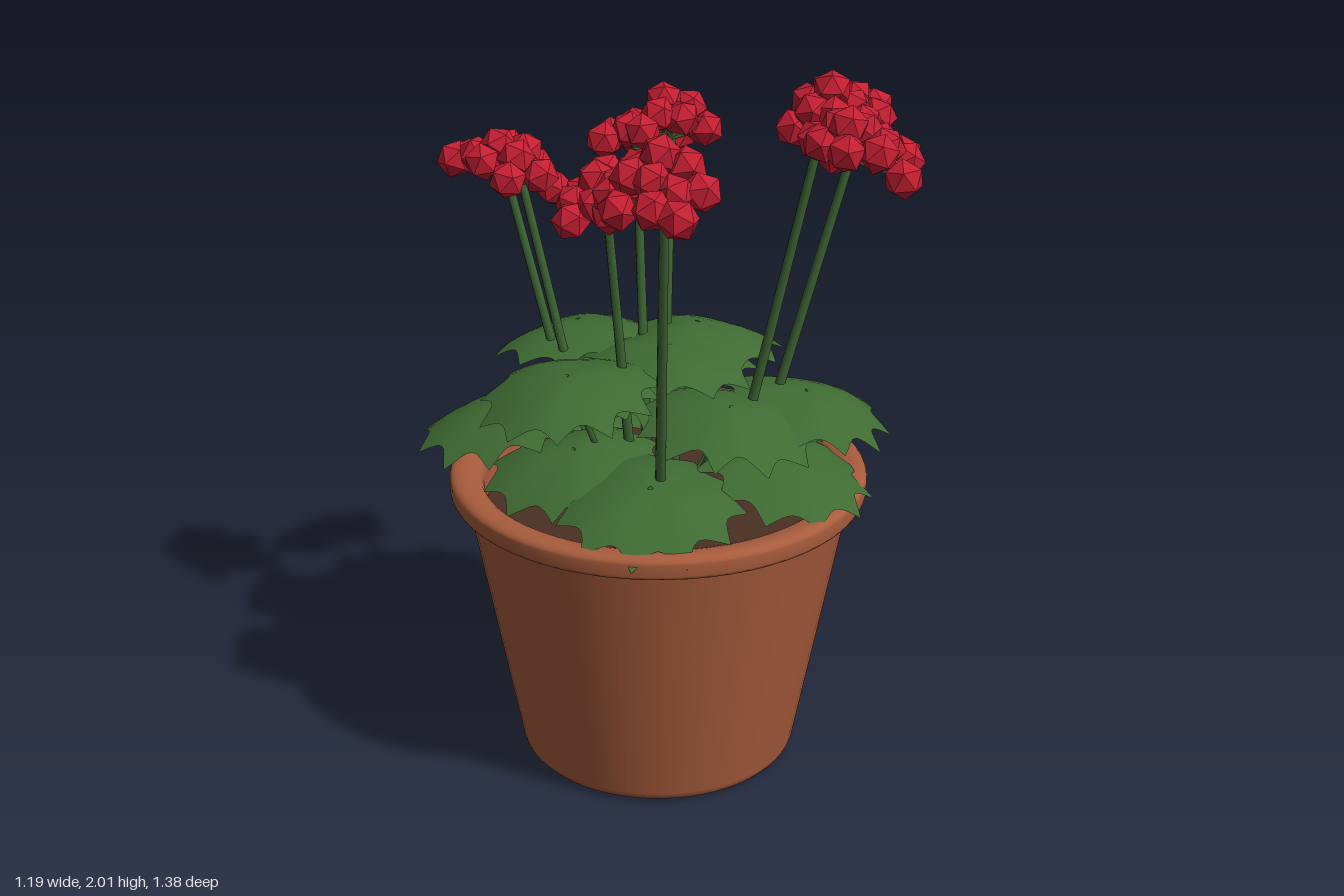
import * as THREE from 'three';
import { mergeVertices } from 'three/addons/utils/BufferGeometryUtils.js';

const mat = (color, extra = {}) => new THREE.MeshStandardMaterial({ color, ...extra });
const clay = mat(0xa85c3c);
const earth = mat(0x4a3024);
const leafGreen = mat(0x3f6b33, { side: THREE.DoubleSide });
const stemGreen = mat(0x3c6232);
const red = mat(0xc41e32, { flatShading: true });
const V = (x, y, z) => new THREE.Vector3(x, y, z);
const soilY = 0.77;

function add(parent, name, geometry, material) {
  const mesh = new THREE.Mesh(geometry, material);
  mesh.name = name;
  parent.add(mesh);
  return mesh;
}

function group(parent, name) {
  const g = new THREE.Group();
  g.name = name;
  parent.add(g);
  return g;
}

// Round rod between two points
function rod(parent, name, a, b, radius) {
  const dir = b.clone().sub(a);
  const mesh = add(parent, name, new THREE.CylinderGeometry(radius * 0.8, radius, dir.length(), 8), stemGreen);
  mesh.position.copy(a).add(b).multiplyScalar(0.5);
  mesh.quaternion.setFromUnitVectors(V(0, 1, 0), dir.normalize());
}

// Round leaf with pointed teeth and a drooping edge
function leafGeometry() {
  const teeth = 11;
  const g = new THREE.RingGeometry(0, 1, teeth * 8, 5).rotateX(-Math.PI / 2);
  const p = g.attributes.position;
  for (let i = 0; i < p.count; i++) {
    const x = p.getX(i), z = p.getZ(i);
    const t = Math.hypot(x, z), a = Math.atan2(z, x);
    const s = 1 - t * (0.19 + 0.04 * Math.cos(2 * a)) * Math.abs(Math.sin(a * teeth / 2));
    p.setXYZ(i, x * s, -0.3 * (t * s) ** 2 + 0.03 * t * Math.cos(3 * a), z * s);
  }
  g.deleteAttribute('uv');
  g.deleteAttribute('normal');
  const merged = mergeVertices(g);
  merged.computeVertexNormals();
  return merged;
}

// Crown of each leaf, from the top tier down
const crowns = [
  V(0.08, 1.2, -0.05), V(-0.28, 1.2, -0.03), V(0.25, 1.2, -0.14), V(0.01, 1.18, -0.4),
  V(-0.36, 1.07, -0.24), V(0.35, 1.09, 0.24), V(0.08, 1.11, 0.24), V(-0.1, 1.14, -0.18),
  V(-0.23, 0.97, 0.29), V(0.2, 0.97, 0.34), V(-0.27, 0.98, -0.02), V(0.27, 0.99, 0.02),
  V(0.02, 0.93, -0.38), V(0.21, 0.98, -0.22),
];

// Flower heads: centre, half widths in x and z, florets, stem tops in x and z
const heads = [
  { at: V(-0.2, 1.68, -0.46), rx: 0.13, rz: 0.19, count: 17, stems: [[-0.17, -0.48], [-0.18, -0.38]] },
  { at: V(0.2, 1.76, -0.28), rx: 0.18, rz: 0.12, count: 16, stems: [[0.13, -0.27], [0.25, -0.27]] },
  { at: V(-0.14, 1.7, -0.01), rx: 0.12, rz: 0.16, count: 12, stems: [[-0.16, 0]] },
  { at: V(-0.31, 1.87, 0.44), rx: 0.13, rz: 0.14, count: 12, stems: [[-0.31, 0.46]] },
  { at: V(0.38, 1.89, 0.3), rx: 0.14, rz: 0.13, count: 17, stems: [[0.48, 0.27], [0.33, 0.28]] },
  { at: V(0.29, 1.88, 0.52), rx: 0.12, rz: 0.14, count: 12, stems: [[0.28, 0.33]] },
];

export function createModel() {
  const model = new THREE.Group();
  model.name = 'pottedPlant';
  const pot = group(model, 'pot');
  pot.position.z = 0.01;

  // Tapered body with a softened foot
  const wall = new THREE.Path();
  wall.moveTo(0, 0);
  wall.lineTo(0.36, 0);
  wall.quadraticCurveTo(0.395, 0.005, 0.4, 0.035);
  wall.lineTo(0.545, 0.82);
  add(pot, 'potBody', new THREE.LatheGeometry(wall.getPoints(4), 64), clay);

  // Wide rim with an upright edge, rolling down into the pot
  const rim = new THREE.Path();
  rim.moveTo(0.54, 0.815);
  rim.lineTo(0.582, 0.815);
  rim.lineTo(0.587, 0.825);
  rim.lineTo(0.587, 0.858);
  rim.quadraticCurveTo(0.582, 0.876, 0.55, 0.876);
  rim.quadraticCurveTo(0.495, 0.874, 0.49, 0.83);
  rim.lineTo(0.48, 0.74);
  add(pot, 'rim', new THREE.LatheGeometry(rim.getPoints(5), 64), clay);

  // Soil
  add(pot, 'soil', new THREE.CircleGeometry(0.485, 48).rotateX(-Math.PI / 2), earth).position.y = soilY;

  // Leaves leaning away from the middle, each on a stalk
  const foliage = group(model, 'foliage');
  const blade = leafGeometry();
  crowns.forEach((crown, i) => {
    const { x, z } = crown;
    const leaf = add(foliage, 'leaf', blade, leafGreen);
    leaf.position.copy(crown);
    leaf.scale.setScalar(0.26);
    leaf.quaternion.setFromAxisAngle(V(z, 0, -x).normalize(), 0.5 * Math.hypot(x, z));
    leaf.rotateY(i * 1.7);
    rod(foliage, 'leafStalk', V(x * 0.4, soilY, z * 0.4), crown, 0.01);
  });

  // Flower heads: florets spiral outward from the top of leaning stems
  const ball = new THREE.IcosahedronGeometry(0.054, 0);
  heads.forEach(({ at, rx, rz, count, stems }, h) => {
    const head = group(model, 'flowerHead');
    const tips = stems.map(([x, z]) => V(x, at.y - 0.05, z));
    tips.forEach((tip) => rod(head, 'flowerStem', V(tip.x * 0.47, soilY, tip.z * 0.47), tip, 0.015));
    for (let i = 0; i < count; i++) {
      const reach = Math.sqrt((i + 0.5) / count), turn = i * 2.4 + h;
      const wobble = 0.035 * Math.sin(i * 2.3 + h * 1.9);
      const floret = add(head, 'floret', ball, red);
      floret.position.set(
        at.x + rx * reach * Math.cos(turn),
        at.y + 0.04 - 0.08 * reach * reach + wobble,
        at.z + rz * reach * Math.sin(turn));
      floret.rotation.set(i * 0.9, i * 1.3 + h, i * 0.4);
      rod(head, 'floretStalk', tips[i % tips.length], floret.position, 0.005);
    }
  });
  return model;
}
